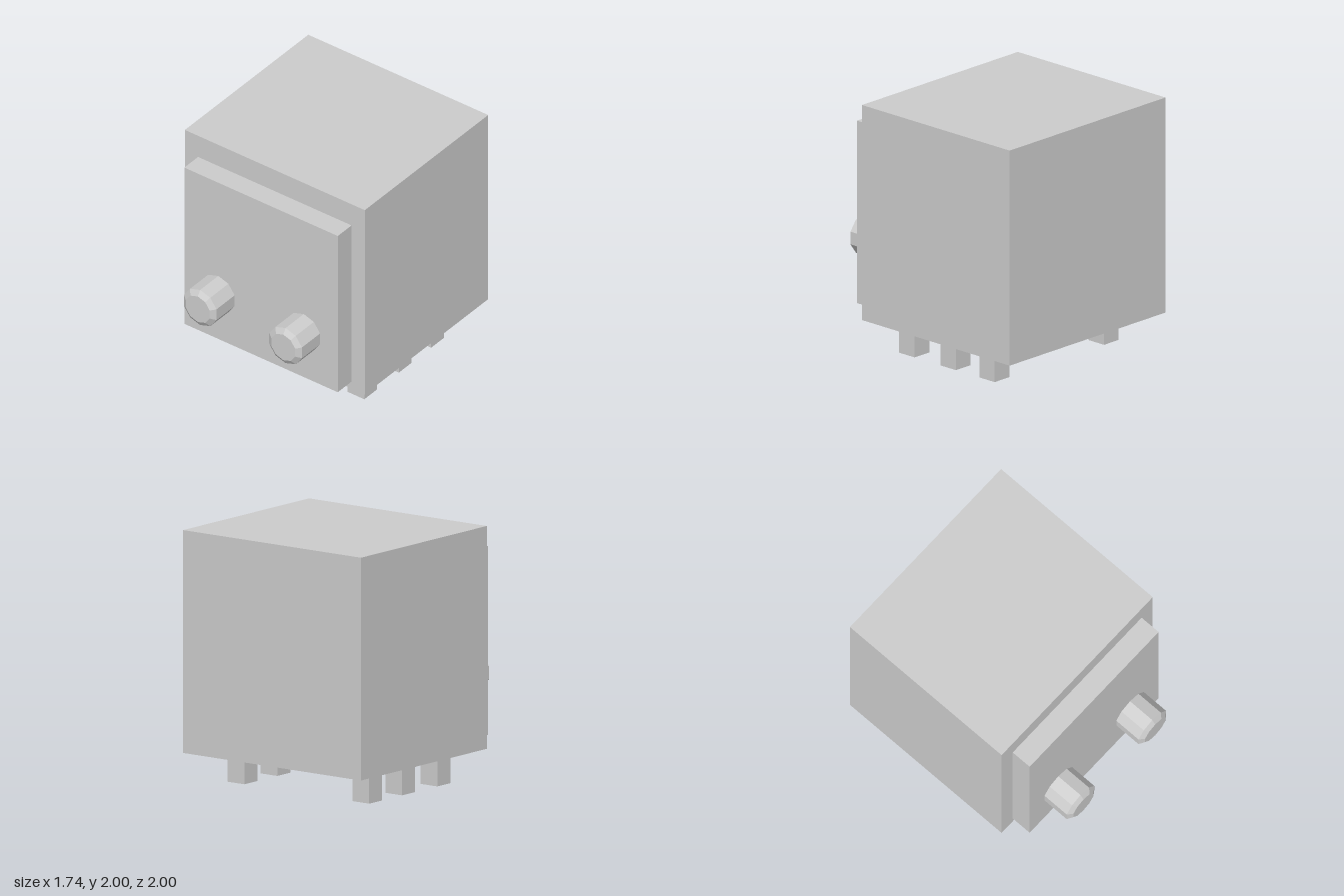
import * as THREE from 'three';

export function createModel() {
  const model = new THREE.Group();
  const material = new THREE.MeshStandardMaterial({ color: 0xcccccc, flatShading: true });

  const add = (name, geometry, x, y, z) => {
    const mesh = new THREE.Mesh(geometry, material);
    mesh.name = name;
    mesh.position.set(x, y, z);
    model.add(mesh);
  };

  // Main cabinet and the raised panel on its front
  add('cabinet', new THREE.BoxGeometry(1.735, 1.745, 1.565), 0, 1.1275, -0.2175);
  add('frontPanel', new THREE.BoxGeometry(1.48, 1.48, 0.175), 0, 1.06, 0.6525);

  // Ten-sided knob with a chamfered front rim, turned to face +z
  const knobProfile = [[0, 0], [0.166, 0], [0.166, 0.23], [0.121, 0.26], [0, 0.26]]
    .map(([r, h]) => new THREE.Vector2(r, h));
  const knob = new THREE.LatheGeometry(knobProfile, 10).rotateX(Math.PI / 2);

  // Six square legs in two rows of three
  const leg = new THREE.BoxGeometry(0.163, 0.255, 0.163);

  for (const [side, label] of [[1, 'left'], [-1, 'right']]) {
    add(`${label}Knob`, knob, side * 0.412, 0.751, 0.74);
    [['Front', 0.257], ['Middle', -0.181], ['Back', -0.591]].forEach(([row, z]) =>
      add(`${label}${row}Leg`, leg, side * 0.609, 0.1275, z));
  }
  return model;
}
